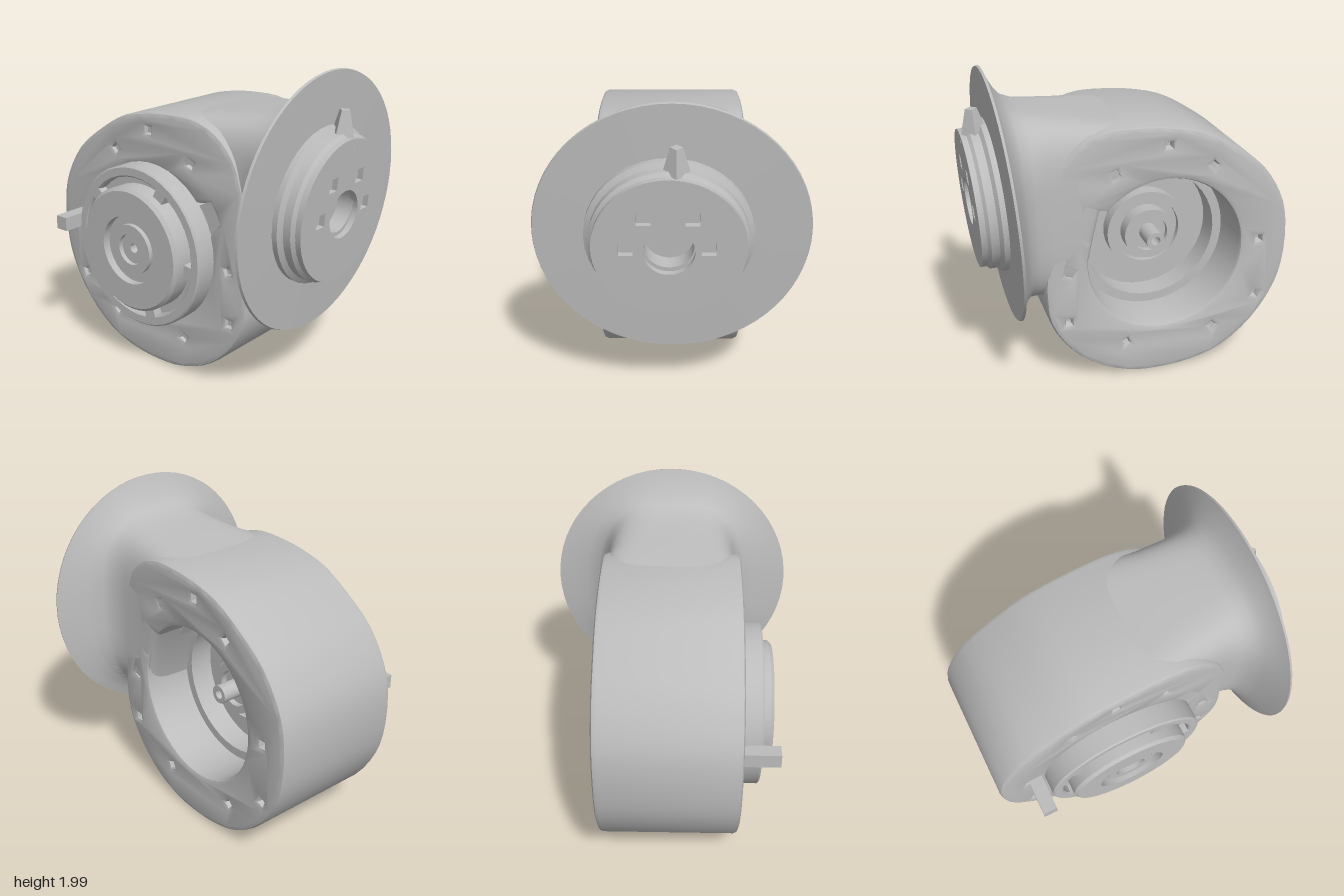
import * as THREE from 'three';
import { toCreasedNormals } from 'three/addons/utils/BufferGeometryUtils.js';

const metal = new THREE.MeshStandardMaterial({ color: 0xbcbcbc });
metal.name = 'casting grey';

const AXIS_Y = 0.84, AXIS_Z = -0.17; // fan axis, running along x

function add(parent, name, geometry, crease = 0.6) {
  const mesh = new THREE.Mesh(toCreasedNormals(geometry, crease), metal);
  mesh.name = name;
  parent.add(mesh);
  return mesh;
}

function lathe(points, segments = 40) {
  return new THREE.LatheGeometry(points.map(([r, h]) => new THREE.Vector2(r, h)), segments);
}

function squareHole(x, y, half, angle = 0) {
  const pts = [];
  for (let i = 0; i < 4; i++) {
    const a = angle + Math.PI / 4 + i * Math.PI / 2;
    pts.push(new THREE.Vector2(x + half * 1.414 * Math.cos(a), y + half * 1.414 * Math.sin(a)));
  }
  return new THREE.Path(pts);
}

// Ring of cross-sections running along z, each [z, centreY, halfWidth, halfHeight, exponent, tilt]
function loft(sections, n = 64) {
  const pos = [], index = [];
  for (const [z, cy, hw, hh, e, tilt] of sections) {
    for (let i = 0; i < n; i++) {
      const a = i / n * Math.PI * 2, c = Math.cos(a), s = Math.sin(a);
      const x = Math.sign(c) * Math.abs(c) ** (2 / e) * hw;
      const y = cy + Math.sign(s) * Math.abs(s) ** (2 / e) * hh;
      pos.push(x, y, z + tilt * (y - 1.2));
    }
  }
  for (let k = 0; k < sections.length - 1; k++) {
    for (let i = 0; i < n; i++) {
      const a = k * n + i, b = k * n + (i + 1) % n;
      index.push(a, b, b + n, a, b + n, a + n);
    }
  }
  const g = new THREE.BufferGeometry();
  g.setAttribute('position', new THREE.Float32BufferAttribute(pos, 3));
  g.setIndex(index);
  g.computeVertexNormals();
  return g;
}

function createModel() {
  const model = new THREE.Group();
  model.name = 'blowerFan';

  // Scroll housing, outlined in (z, y) and extruded along x
  const outline = new THREE.CatmullRomCurve3([
    [0.56, 1.3], [0.5, 1.48], [0.37, 1.62], [0.2, 1.685], [0, 1.69], [-0.2, 1.67], [-0.4, 1.62],
    [-0.6, 1.51], [-0.8, 1.36], [-0.93, 1.17], [-0.985, 1], [-0.985, 0.7], [-0.93, 0.5],
    [-0.78, 0.27], [-0.57, 0.1], [-0.36, 0.03], [-0.15, 0.01], [0.05, 0.025], [0.27, 0.11],
    [0.46, 0.27], [0.58, 0.48], [0.6, 0.7],
  ].map(([z, y]) => new THREE.Vector3(-z, y, 0))).getPoints(60);
  const shape = new THREE.Shape(outline.map(p => new THREE.Vector2(p.x, p.y)));

  // Inlet opening with one notch in its rim
  const opening = [];
  for (let i = 0; i < 60; i++) {
    const a = i / 60 * Math.PI * 2, r = Math.abs(a - 2.63) < 0.13 ? 0.61 : 0.5;
    opening.push(new THREE.Vector2(-AXIS_Z + r * Math.cos(a), AXIS_Y + r * Math.sin(a)));
  }
  shape.holes.push(new THREE.Path(opening));

  // Screw pits, given as (z, y)
  const pits = [[-0.18, 1.56], [0.16, 1.41], [-0.47, 1.4], [0.45, 0.8], [0.46, 0.46],
    [0.09, 0.25], [-0.5, 0.27], [-0.8, 0.46], [-0.8, 0.86]];
  pits.forEach(([z, y], i) => shape.holes.push(squareHole(-z, y, 0.018, i * 0.4)));

  const bevel = 0.03;
  const body = new THREE.ExtrudeGeometry(shape, {
    depth: 0.87 - 2 * bevel, bevelEnabled: true, bevelSize: bevel,
    bevelThickness: bevel, bevelOffset: -bevel, bevelSegments: 2,
  });
  body.rotateY(Math.PI / 2).translate(-0.45 + bevel, 0, 0);
  add(model, 'scrollHousing', body);

  // Floors of the pits and of the rim notch
  for (const [z, y] of pits) {
    add(model, 'pitFloor', new THREE.BoxGeometry(0.78, 0.06, 0.06).translate(-0.03, y, z));
  }
  const notch = new THREE.BoxGeometry(0.64, 0.18, 0.15).rotateX(-0.51)
    .translate(-0.12, AXIS_Y + 0.28, AXIS_Z + 0.5);
  add(model, 'notchFloor', notch);

  // Motor on the closed side, stepped inlet cup and hub on the open side, hollow shaft
  const core = lathe([
    [0.03, -0.6], [0.1, -0.6], [0.1, -0.63], [0.16, -0.63], [0.16, -0.6], [0.22, -0.6], [0.22, -0.65],
    [0.38, -0.65], [0.4, -0.63], [0.4, -0.52], [0.45, -0.52], [0.45, -0.57], [0.46, -0.58],
    [0.51, -0.58], [0.52, -0.57], [0.52, -0.44], [0.505, -0.44], [0.505, 0.1],
    [0.44, 0.1], [0.44, -0.06], [0.27, -0.06], [0.27, 0.04], [0.22, 0.04], [0.22, 0],
    [0.17, 0], [0.17, 0.1], [0.12, 0.1], [0.12, 0.06], [0.06, 0.06], [0.06, 0.22],
    [0.03, 0.22], [0.03, -0.6],
  ]);
  core.rotateZ(-Math.PI / 2).translate(0, AXIS_Y, AXIS_Z);
  add(model, 'motorAndHub', core);

  // Lugs around the motor
  add(model, 'motorLug', new THREE.BoxGeometry(0.23, 0.09, 0.09).translate(-0.565, 0.89, -0.755));
  for (const a of [0.5, 1.7, 2.9, 4.2, 5.4]) {
    const lug = new THREE.BoxGeometry(0.1, 0.1, 0.08).translate(-0.53, 0.43, 0)
      .rotateX(a).translate(0, AXIS_Y, AXIS_Z);
    add(model, 'motorRib', lug);
  }

  // Outlet duct rising out of the housing and flaring into a round, tilted flange
  const horn = loft([
    [-0.1, 1.52, 0.4, 0.155, 8, 0], [0.1, 1.5, 0.41, 0.195, 6, 0],
    [0.25, 1.43, 0.42, 0.285, 5, 0], [0.36, 1.165, 0.425, 0.56, 5, 0],
    [0.54, 1.165, 0.43, 0.58, 4.2, 0],
    [0.64, 1.17, 0.455, 0.595, 3.4, 0.02], [0.7, 1.18, 0.5, 0.62, 2.8, 0.04],
    [0.74, 1.19, 0.59, 0.67, 2.4, 0.05], [0.775, 1.2, 0.7, 0.74, 2.1, 0.06],
    [0.795, 1.2, 0.79, 0.795, 2, 0.06], [0.81, 1.2, 0.785, 0.79, 2, 0.06],
    [0.82, 1.2, 0.3, 0.3, 2, 0.06],
  ]);
  horn.translate(-0.005, 0, 0);
  add(model, 'outletFlange', horn, 0.8);

  // Stepped cover on the flange
  const cover = new THREE.Group();
  cover.name = 'outletCover';
  cover.position.set(-0.02, 1.2, 0.8);
  cover.rotation.x = 0.06;
  model.add(cover);
  const base = lathe([[0.48, -0.03], [0.48, 0.05], [0.45, 0.07], [0.45, 0.12], [0.43, 0.14], [0.14, 0.14], [0.14, 0.04], [0, 0.04]]);
  add(cover, 'coverBase', base.rotateX(Math.PI / 2));

  const face = new THREE.Shape().absarc(0, 0, 0.43, 0, Math.PI * 2);
  face.holes.push(new THREE.Path().absarc(0, -0.02, 0.145, 0, Math.PI * 2));
  for (const [x, y] of [[-0.24, 0], [0.22, 0], [-0.14, 0.19], [0.13, 0.19]]) {
    face.holes.push(squareHole(x, y, 0.04));
  }
  const plate = new THREE.ExtrudeGeometry(face, { depth: 0.045, bevelEnabled: false, curveSegments: 32 });
  add(cover, 'coverPlate', plate.translate(0, 0, 0.13));
  add(cover, 'coverTab', new THREE.CylinderGeometry(0.035, 0.09, 0.2, 4).translate(0.04, 0.48, 0.09));

  return model;
}

export { createModel };
